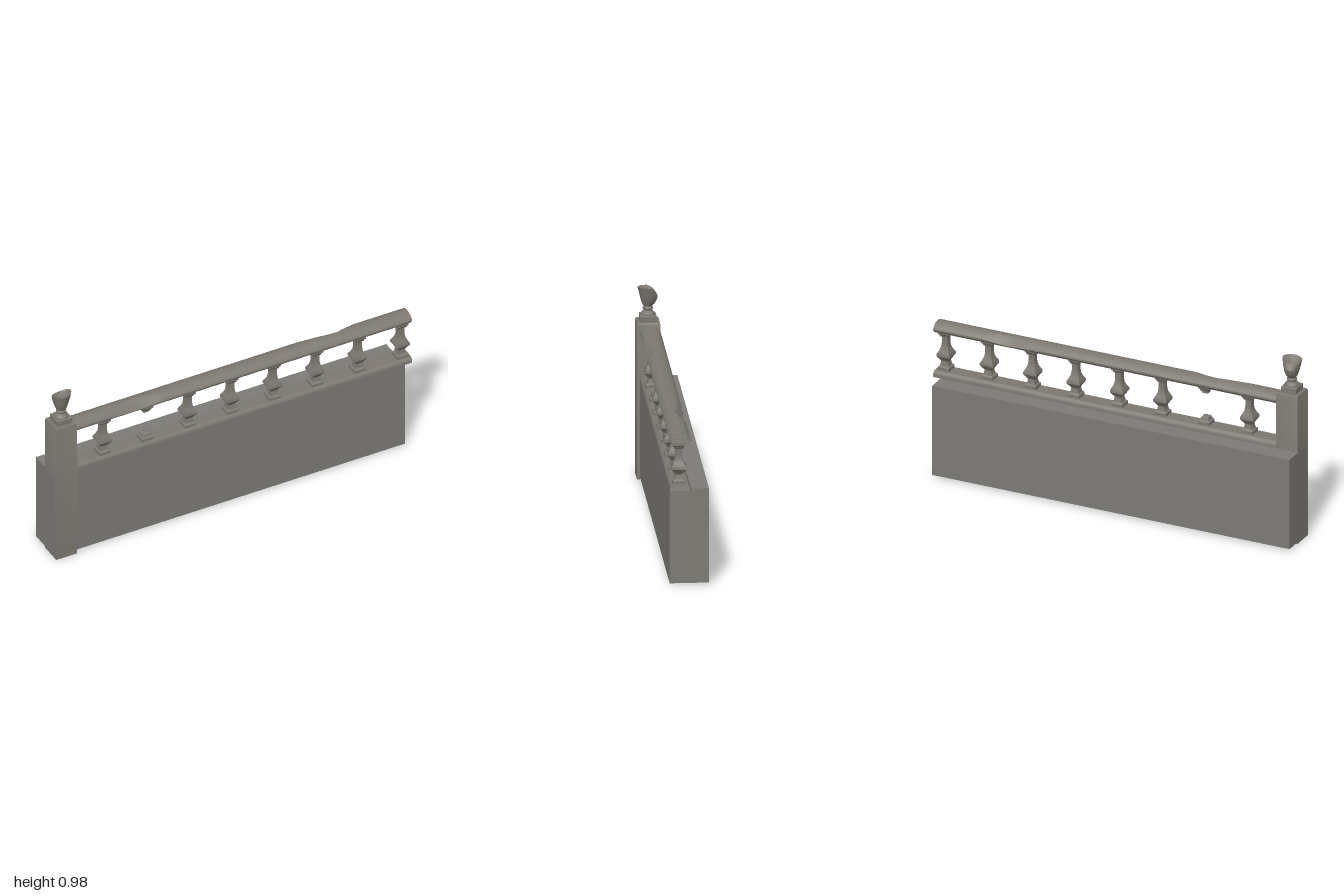
import * as THREE from 'three';
import { toCreasedNormals } from 'three/addons/utils/BufferGeometryUtils.js';

const V = (x, y) => new THREE.Vector2(x, y);
const stone = new THREE.MeshStandardMaterial({ color: 0x7d7871, side: THREE.DoubleSide });
stone.name = 'carved stone';
const wallStone = new THREE.MeshStandardMaterial({ color: 0x7d7b76 });
wallStone.name = 'wall stone';

const MID = 0.039; // z of the rail centre line
const POST_X = -0.94, POST_Z = 0.046;

function add(parent, name, geometry, material, x = 0, y = 0, z = 0) {
  const mesh = new THREE.Mesh(geometry, material);
  mesh.name = name;
  mesh.position.set(x, y, z);
  parent.add(mesh);
  return mesh;
}

// Sweeps a closed half profile [half width, y], mirrored about MID, along x with open ends
function sweepX(half, xs, rule) {
  const back = half.slice().reverse().filter(p => p[0] > 0).map(([w, y]) => [-w, y]);
  const loop = [...half, ...back, half[0]];
  const pos = [], index = [];
  xs.forEach((x, i) => loop.forEach(([w, y], j) => {
    const [dz, py] = rule ? rule(x, w, y) : [w, y];
    pos.push(x, py, MID + dz);
    if (i < xs.length - 1 && j < loop.length - 1) {
      const a = i * loop.length + j, b = a + loop.length;
      index.push(a, b, a + 1, b, b + 1, a + 1);
    }
  }));
  const g = new THREE.BufferGeometry();
  g.setAttribute('position', new THREE.Float32BufferAttribute(pos, 3));
  g.setIndex(index);
  return toCreasedNormals(g, 0.5);
}

// Linear interpolation through [x, value] keys
function along(keys, x) {
  for (let i = 1; i < keys.length; i++) {
    const [x0, v0] = keys[i - 1], [x1, v1] = keys[i];
    if (x >= x0 && x <= x1) return v0 + (v1 - v0) * (x - x0) / (x1 - x0);
  }
  return 0;
}

// Four-sided turned shape from [half width, y] points
function squareTurned(points) {
  const g = new THREE.LatheGeometry(points.map(([w, y]) => V(w * Math.SQRT2, y)), 4, Math.PI / 4);
  return toCreasedNormals(g, 0.6);
}

export function createModel() {
  const model = new THREE.Group();
  model.name = 'balustrade';

  // Solid wall below
  add(model, 'wall', new THREE.BoxGeometry(1.96, 0.485, 0.194), wallStone, -0.02, 0.2535, -0.008);

  // Corner post with bevelled top, and the plinth on it
  add(model, 'post', squareTurned([[0, 0], [0.0585, 0], [0.0585, 0.79], [0.054, 0.8], [0, 0.8]]),
    stone, POST_X, 0, POST_Z);
  add(model, 'plinth', squareTurned([[0.041, 0.799], [0.041, 0.829], [0.037, 0.832], [0, 0.832]]),
    stone, POST_X, 0, POST_Z);

  // Turned foot of the urn
  const foot = [[0.036, 0.831], [0.036, 0.838], [0.031, 0.845], [0.023, 0.85], [0.021, 0.856],
    [0.025, 0.86], [0.026, 0.867], [0.021, 0.872], [0.02, 0.876]];
  add(model, 'urnFoot', toCreasedNormals(new THREE.LatheGeometry(foot.map(p => V(...p)), 16), 0.6),
    stone, POST_X, 0, POST_Z);

  // Broken urn bowl: the rim sinks toward the back and its top is hollowed
  const bowl = [[0.019, 0.872], [0.029, 0.888], [0.036, 0.91], [0.042, 0.935], [0.051, 0.972],
    [0.03, 0.955], [0, 0.94]];
  const urn = new THREE.LatheGeometry(bowl.map(p => V(...p)), 16);
  const up = urn.attributes.position;
  for (let i = 0; i < up.count; i++) {
    const x = up.getX(i), y = up.getY(i), z = up.getZ(i);
    const t = Math.max(0, (y - 0.872) / 0.1), back = Math.max(0, -z / 0.051);
    up.setY(i, y + t * (x * 0.1 - back * 0.014));
    if (z < 0) up.setZ(i, z * (1 + 0.35 * Math.sin(Math.PI * Math.min(t, 1)) - 0.4 * t * t));
  }
  add(model, 'urnBowl', toCreasedNormals(urn, 0.6), stone, POST_X, 0, POST_Z);

  // Hand rail with a chipped patch on the front and another on the back
  const frontChip = [[-0.72, 0], [-0.66, 0.35], [-0.58, 0.8], [-0.52, 1], [-0.47, 0.85], [-0.42, 0.3], [-0.38, 0]];
  const backChip = [[0.4, 0], [0.5, 0.4], [0.56, 0.75], [0.61, 0.9], [0.65, 0.5], [0.72, 0]];
  const railHalf = [[0.04, 0.737], [0.044, 0.745], [0.051, 0.75], [0.051, 0.758], [0.044, 0.768],
    [0.037, 0.775], [0.028, 0.78], [0.015, 0.784], [0, 0.786]];
  const chip = (x, w, y) => {
    const s = w < 0 ? -1 : 1;
    const depth = along(s > 0 ? frontChip : backChip, x);
    if (depth === 0) return [w, y];
    const limit = 0.0515 - 0.016 * depth;
    const over = (s * w + y - 0.74) * Math.SQRT1_2 - limit;
    return over > 0 ? [w - s * over * Math.SQRT1_2, y - over * Math.SQRT1_2] : [w, y];
  };
  const xs = [-0.885, ...frontChip.map(k => k[0]), ...backChip.map(k => k[0]), 1];
  add(model, 'handRail', sweepX(railHalf, xs, chip), stone);

  // Moulded bottom rail
  const baseHalf = [[0.051, 0.497], [0.051, 0.512], [0.047, 0.52], [0.038, 0.528], [0, 0.528]];
  add(model, 'bottomRail', sweepX(baseHalf, [-0.885, 1]), stone);

  // Balusters, the second one broken through
  const lower = [[0.031, 0.526], [0.031, 0.543], [0.023, 0.55], [0.02, 0.562]];
  const middle = [[0.018, 0.575], [0.026, 0.588], [0.036, 0.602], [0.036, 0.614], [0.026, 0.632],
    [0.019, 0.65], [0.016, 0.672]];
  const upper = [[0.016, 0.695], [0.016, 0.704], [0.022, 0.708], [0.024, 0.716], [0.031, 0.724], [0.031, 0.74]];
  const whole = squareTurned([...lower, ...middle, ...upper]);
  const stump = squareTurned([...lower, [0.013, 0.568], [0, 0.57]]);
  const hanging = squareTurned([[0, 0.69], ...upper]);
  for (let i = 0; i < 8; i++) {
    const x = -0.708 + i * 0.2378;
    if (i === 1) {
      add(model, 'balusterStump', stump, stone, x, 0, 0.045);
      add(model, 'balusterRemnant', hanging, stone, x, 0, 0.045);
    } else add(model, 'baluster', whole, stone, x, 0, 0.045);
  }
  return model;
}
